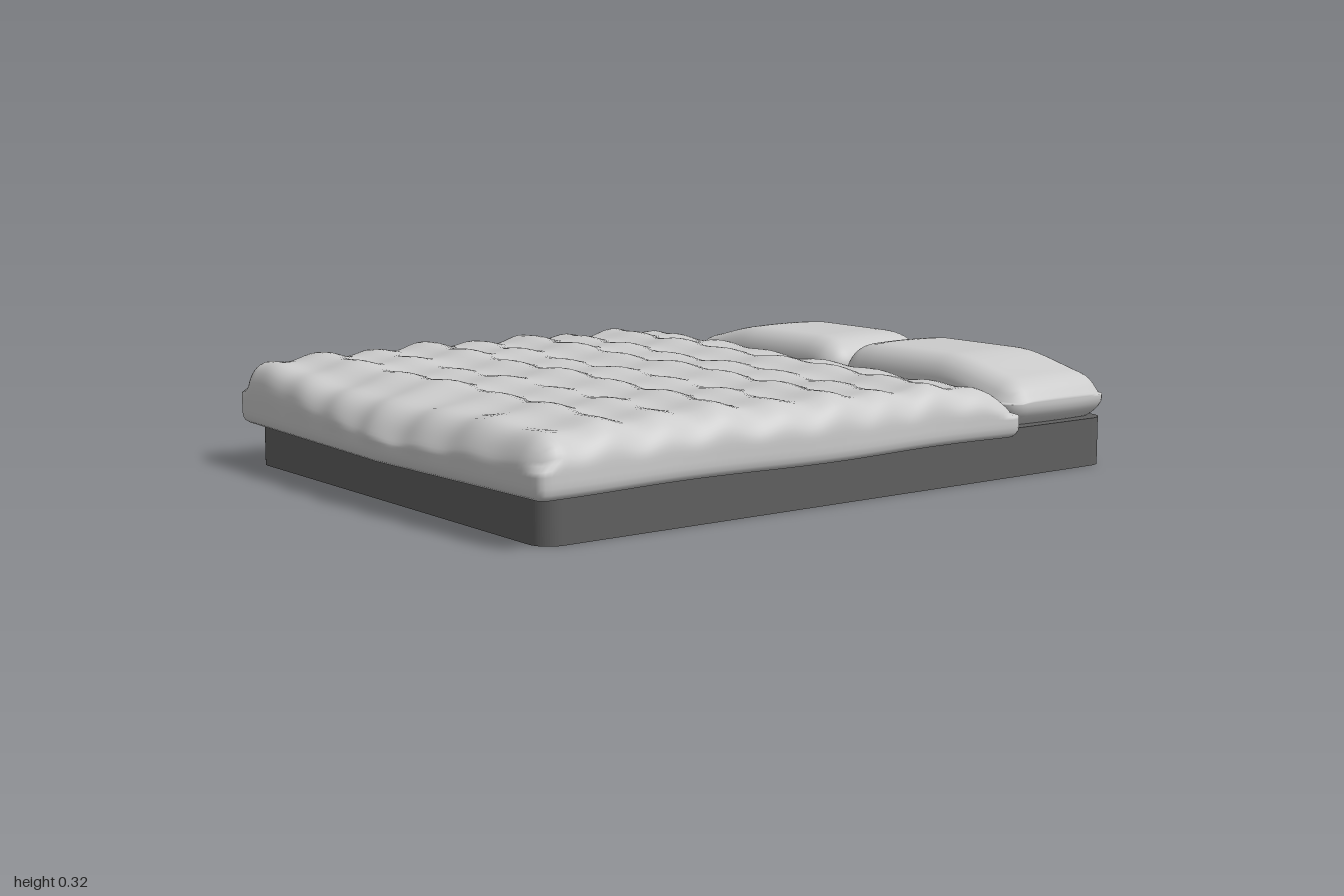
import * as THREE from 'three';
import { mergeVertices } from 'three/addons/utils/BufferGeometryUtils.js';

const fabric = new THREE.MeshStandardMaterial({ color: 0xcccccc });
const dark = new THREE.MeshStandardMaterial({ color: 0x606060 });
const { clamp, smoothstep } = THREE.MathUtils;

// Box spanning min..max with rounded edges (rTop above, rBottom below), then reshaped by rule(v)
function softBox(min, max, segs, rTop, rBottom, rule) {
  const size = max.clone().sub(min);
  const mid = min.clone().add(max).multiplyScalar(0.5);
  let geo = new THREE.BoxGeometry(size.x, size.y, size.z, ...segs);
  geo.translate(mid.x, mid.y, mid.z);
  geo.deleteAttribute('uv');
  geo.deleteAttribute('normal');
  geo = mergeVertices(geo);
  const pos = geo.attributes.position;
  const v = new THREE.Vector3(), q = new THREE.Vector3();
  for (let i = 0; i < pos.count; i++) {
    v.fromBufferAttribute(pos, i);
    const r = v.y > mid.y ? rTop : rBottom;
    q.set(
      clamp(v.x, min.x + r, max.x - r),
      clamp(v.y, min.y + rBottom, max.y - rTop),
      clamp(v.z, min.z + r, max.z - r)
    );
    v.sub(q).setLength(r).add(q);
    rule(v);
    pos.setXYZ(i, v.x, v.y, v.z);
  }
  geo.computeVertexNormals();
  return geo;
}

function addMesh(group, name, geo, material) {
  const mesh = new THREE.Mesh(geo, material);
  mesh.name = name;
  group.add(mesh);
  return mesh;
}

// Plinth with rounded vertical corners
function baseGeometry() {
  const x = 0.725, z0 = -0.99, z1 = 0.92, r = 0.06;
  const s = new THREE.Shape();
  s.moveTo(-x + r, -z1);
  s.lineTo(x - r, -z1);
  s.absarc(x - r, -z1 + r, r, -Math.PI / 2, 0);
  s.absarc(x - r, -z0 - r, r, 0, Math.PI / 2);
  s.absarc(-x + r, -z0 - r, r, Math.PI / 2, Math.PI);
  s.absarc(-x + r, -z1 + r, r, Math.PI, Math.PI * 1.5);
  const geo = new THREE.ExtrudeGeometry(s, { depth: 0.135, bevelEnabled: false, curveSegments: 8 });
  return geo.rotateX(-Math.PI / 2);
}

// Quilt folds: ridges across the bed, fainter ones along it, and a drooping front edge
function drapeDuvet(v) {
  const { x, z } = v;
  const top = smoothstep(v.y, 0.14, 0.26);
  const ridges = 0.008 * Math.sin(z * 36 + 0.8 * Math.sin(x * 4)) + 0.004 * Math.sin(z * 17 + 1);
  const streaks = 0.004 * Math.sin(x * 29 + Math.sin(z * 3)) + 0.003 * Math.sin(x * 13 + z * 2);
  const crown = 0.012 * Math.cos((z - 0.35) * 2) - 0.022 * x;
  const headDrop = -0.025 * (1 - smoothstep(z, -0.62, -0.35));
  const centre = Math.max(0, 1 - Math.abs(x - 0.05) / 0.75);
  const droop = -0.05 * centre * smoothstep(z, 0.8, 0.96);
  v.y += top * (ridges + streaks + crown + headDrop + droop);
  // uneven side hems and a front edge pushed out at the middle
  const side = smoothstep(Math.abs(x), 0.55, 0.76);
  v.x += side * (x > 0 ? 0.012 * Math.sin(z * 7.5 + 1) : 0.012 * z + 0.005 * Math.sin(z * 11));
  const front = smoothstep(z, 0.7, 0.95);
  v.z += front * (0.035 * centre + 0.006 * Math.sin(x * 30) * top * centre);
  v.z += (1 - smoothstep(z, -0.6, -0.5)) * 0.005 * Math.sin(x * 14);
}

// Pillow: falls away at the outer end, dips a little by the gap, tapers underneath
function plumpPillow(v) {
  const top = smoothstep(v.y, 0.18, 0.28);
  const d = (v.z + 0.805) / 0.195;
  v.y -= top * (0.055 * smoothstep(v.x, 0.42, 0.74) + 0.012 * (1 - smoothstep(v.x, 0.02, 0.14)));
  v.y -= top * 0.008 * d * d;
  const under = 1 - smoothstep(v.y, 0.13, 0.19);
  v.x -= under * 0.015 * smoothstep(v.x, 0.6, 0.73);
  v.x -= 0.014 * smoothstep(v.x, 0.6, 0.73) * d * d;
  v.z -= under * 0.012 * d;
}

export function createModel() {
  const bed = new THREE.Group();
  bed.name = 'bed';

  addMesh(bed, 'base', baseGeometry(), dark);

  const duvet = softBox(
    new THREE.Vector3(-0.765, 0.115, -0.605), new THREE.Vector3(0.765, 0.277, 0.96),
    [90, 10, 90], 0.08, 0.03, drapeDuvet
  );
  addMesh(bed, 'duvet', duvet, fabric);

  // Two pillows, mirrored about the centre line
  const pillow = softBox(
    new THREE.Vector3(0.01, 0.132, -1), new THREE.Vector3(0.735, 0.311, -0.607),
    [40, 12, 26], 0.075, 0.05, plumpPillow
  );
  addMesh(bed, 'leftPillow', pillow, fabric);
  const mirrored = pillow.clone().scale(-1, 1, 1);
  mirrored.index.array.reverse();
  mirrored.computeVertexNormals();
  addMesh(bed, 'rightPillow', mirrored, fabric);

  return bed;
}
